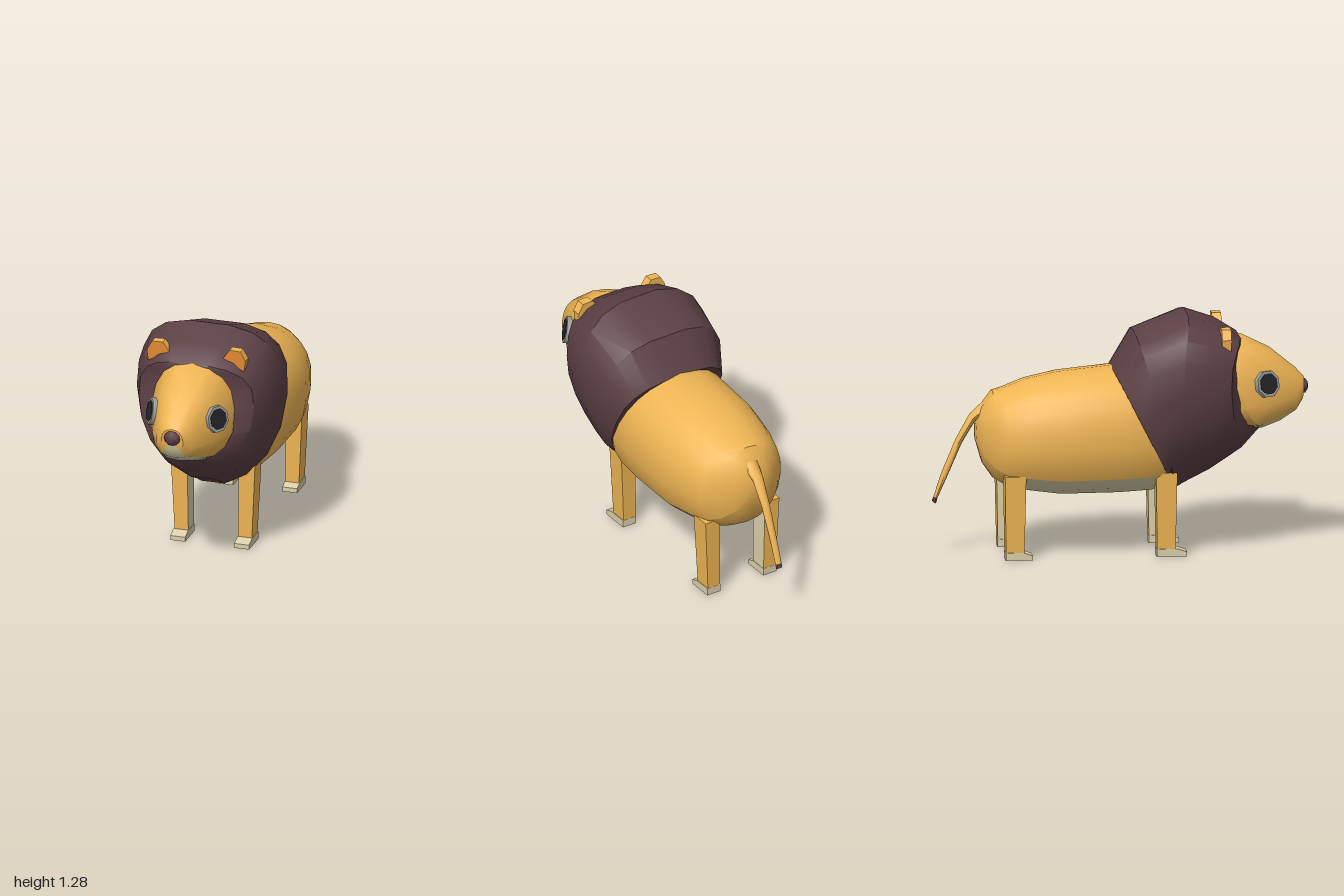
import * as THREE from 'three';
import { toCreasedNormals } from 'three/addons/utils/BufferGeometryUtils.js';

const mat = (color) => new THREE.MeshStandardMaterial({ color });
const fur = mat(0xefb554), hair = mat(0x5c4045), cream = mat(0xd9cfa9);
const orange = mat(0xe08a32), grey = mat(0xa0a29c), black = mat(0x25252b);

// Skin through rings ordered back to front. Ring: [topZ, topY, bottomZ, bottomY, halfWidth, sideBow].
// mid = height fraction of the widest point; nTop, nBot = roundness exponents; from, to = arc in degrees.
function loft(rings, { mid = 0.5, nTop = 2, nBot = 2, from = 0, to = 360, steps = 18, crease = 0.6 } = {}) {
  const pos = [], index = [], w = steps + 1;
  for (const [zt, yt, zb, yb, hw, bow = 0] of rings) {
    for (let j = 0; j <= steps; j++) {
      const a = THREE.MathUtils.degToRad(from + (to - from) * j / steps);
      const c = Math.cos(a), s = Math.sin(a), e = 2 / (s > 0 ? nTop : nBot);
      const h = Math.abs(s) ** e, f = s > 0 ? mid + (1 - mid) * h : mid * (1 - h);
      pos.push(Math.sign(c) * hw * Math.abs(c) ** e, yb + (yt - yb) * f, zb + (zt - zb) * f - bow * c * c);
    }
  }
  const last = rings.length - 1;
  for (let i = 0; i < last; i++) {
    for (let j = 0; j < steps; j++) {
      const a = i * w + j, b = a + w;
      index.push(a, a + 1, b, a + 1, b + 1, b);
    }
  }
  // end caps
  for (const i of [0, last]) {
    const [zt, yt, zb, yb] = rings[i], centre = pos.length / 3;
    pos.push(0, yb + (yt - yb) * mid, zb + (zt - zb) * mid);
    for (let j = 0; j < steps; j++) {
      const a = i * w + j;
      index.push(centre, ...(i ? [a, a + 1] : [a + 1, a]));
    }
  }
  const g = new THREE.BufferGeometry();
  g.setAttribute('position', new THREE.Float32BufferAttribute(pos, 3));
  g.setIndex(index);
  return toCreasedNormals(g, crease);
}

export function createModel() {
  const model = new THREE.Group();
  const add = (name, geometry, material, parent = model) => {
    const mesh = new THREE.Mesh(geometry, material);
    mesh.name = name;
    parent.add(mesh);
    return mesh;
  };

  // Body: fur above, cream belly below
  const body = [
    [-0.77, 0.71, -0.77, 0.61, 0.05],
    [-0.74, 0.80, -0.735, 0.49, 0.12],
    [-0.68, 0.875, -0.68, 0.41, 0.20],
    [-0.62, 0.89, -0.62, 0.375, 0.255],
    [-0.50, 0.935, -0.50, 0.345, 0.29],
    [-0.33, 0.97, -0.33, 0.322, 0.32],
    [-0.02, 1.0, -0.02, 0.322, 0.32],
    [0.15, 0.97, 0.15, 0.33, 0.30],
    [0.27, 0.88, 0.27, 0.37, 0.25],
  ];
  const round = { nTop: 2.2, nBot: 2.4 };
  add('bodyBack', loft(body, { ...round, from: -38, to: 218, steps: 16 }), fur);
  add('rump', loft(body.slice(0, 4), { ...round, from: 218, to: 322, steps: 6 }), fur);
  add('belly', loft(body.slice(3), { ...round, from: 218, to: 322, steps: 6 }), cream);

  // Mane
  add('mane', loft([
    [-0.05, 0.99, 0.28, 0.335, 0.325],
    [0.07, 1.18, 0.28, 0.33, 0.375],
    [0.35, 1.28, 0.33, 0.36, 0.39, 0.05],
    [0.51, 1.225, 0.47, 0.43, 0.37, 0.06],
    [0.63, 1.15, 0.64, 0.54, 0.32, 0.08],
    [0.64, 1.13, 0.75, 0.655, 0.20, 0.08],
  ], { mid: 0.6, nTop: 2.8, nBot: 2, steps: 18 }), hair);

  // Head and cream chin
  const head = [
    [0.58, 1.15, 0.68, 0.66, 0.225, 0.08],
    [0.64, 1.15, 0.75, 0.65, 0.23, 0.08],
    [0.79, 1.075, 0.85, 0.685, 0.175, 0.06],
    [0.93, 0.96, 0.93, 0.735, 0.10],
    [0.975, 0.91, 0.965, 0.79, 0.06],
  ];
  const face = { mid: 0.4, nTop: 2.3, nBot: 2.6 };
  add('head', loft(head, { ...face, from: -55, to: 235, steps: 14 }), fur);
  add('chin', loft(head, { ...face, from: 235, to: 305, steps: 4 }), cream);
  const nose = add('nose', new THREE.SphereGeometry(0.045, 8, 6), hair);
  nose.scale.set(1, 0.9, 0.6);
  nose.position.set(0, 0.86, 0.973);

  // Tail, from tip to root, with a dark tuft
  const tail = [
    [-1.0, 0.29, -0.978, 0.275, 0.019],
    [-0.992, 0.312, -0.97, 0.305, 0.019],
    [-0.95, 0.44, -0.918, 0.42, 0.02],
    [-0.875, 0.62, -0.84, 0.60, 0.025],
    [-0.80, 0.755, -0.77, 0.715, 0.033],
    [-0.73, 0.82, -0.71, 0.75, 0.045],
  ];
  add('tailTuft', loft(tail.slice(0, 2), { steps: 8 }), hair);
  add('tail', loft(tail.slice(1), { steps: 8, crease: 0.9 }), fur);

  const earShape = new THREE.Shape([[0.15, 1.175], [0.265, 1.112], [0.273, 1.17], [0.245, 1.222], [0.185, 1.224]]
    .map(([x, y]) => new THREE.Vector2(x, y)));

  for (const side of [1, -1]) {
    const label = side > 0 ? 'left' : 'right';

    // Ears: fur shell with an orange inside
    const ear = new THREE.Group();
    ear.name = label + 'Ear';
    const shell = add('earShell', new THREE.ExtrudeGeometry(earShape, { depth: 0.05, bevelEnabled: false }), fur, ear);
    shell.position.z = 0.51;
    add('earInside', new THREE.ShapeGeometry(earShape), orange, ear).position.z = 0.563;
    ear.scale.x = side;
    model.add(ear);

    // Eyes: octagonal discs set into the sides of the head
    const eye = new THREE.Group();
    eye.name = label + 'Eye';
    const disc = (r, d) => new THREE.CylinderGeometry(r, r, d, 8).rotateY(Math.PI / 8).rotateX(Math.PI / 2);
    add('eyeRim', disc(0.073, 0.03), grey, eye);
    add('pupil', disc(0.058, 0.036), black, eye);
    eye.position.set(side * 0.178, 0.91, 0.76);
    eye.lookAt(side * (0.178 + 0.85), 0.91 + 0.2, 0.76 + 0.48);
    model.add(eye);

    // Legs: tapered, cream on the inner face, with longer paws
    for (const [name, z, pawFront] of [['FrontLeg', 0.22, 0.33], ['BackLeg', -0.583, -0.49]]) {
      const leg = new THREE.BoxGeometry(0.076, 0.42, 0.098);
      const p = leg.attributes.position;
      for (let i = 0; i < p.count; i++) {
        if (p.getY(i) > 0) p.setXYZ(i, p.getX(i) * 1.2 + side * 0.012, p.getY(i), p.getZ(i) * 1.15);
      }
      leg.computeVertexNormals();
      const skins = Array(6).fill(fur);
      skins[side > 0 ? 1 : 0] = cream;
      add(label + name, leg, skins).position.set(side * 0.176, 0.245, z);

      const back = z - 0.05, length = pawFront - back;
      const paw = new THREE.Shape([[0, 0], [length, 0], [length, 0.025], [length - 0.05, 0.042], [0, 0.042]]
        .map(([x, y]) => new THREE.Vector2(x, y)));
      const foot = new THREE.ExtrudeGeometry(paw, { depth: 0.082, bevelEnabled: false })
        .translate(0, 0, -0.041).rotateY(-Math.PI / 2);
      add(label + name + 'Paw', foot, cream).position.set(side * 0.177, 0, back);
    }
  }
  return model;
}
